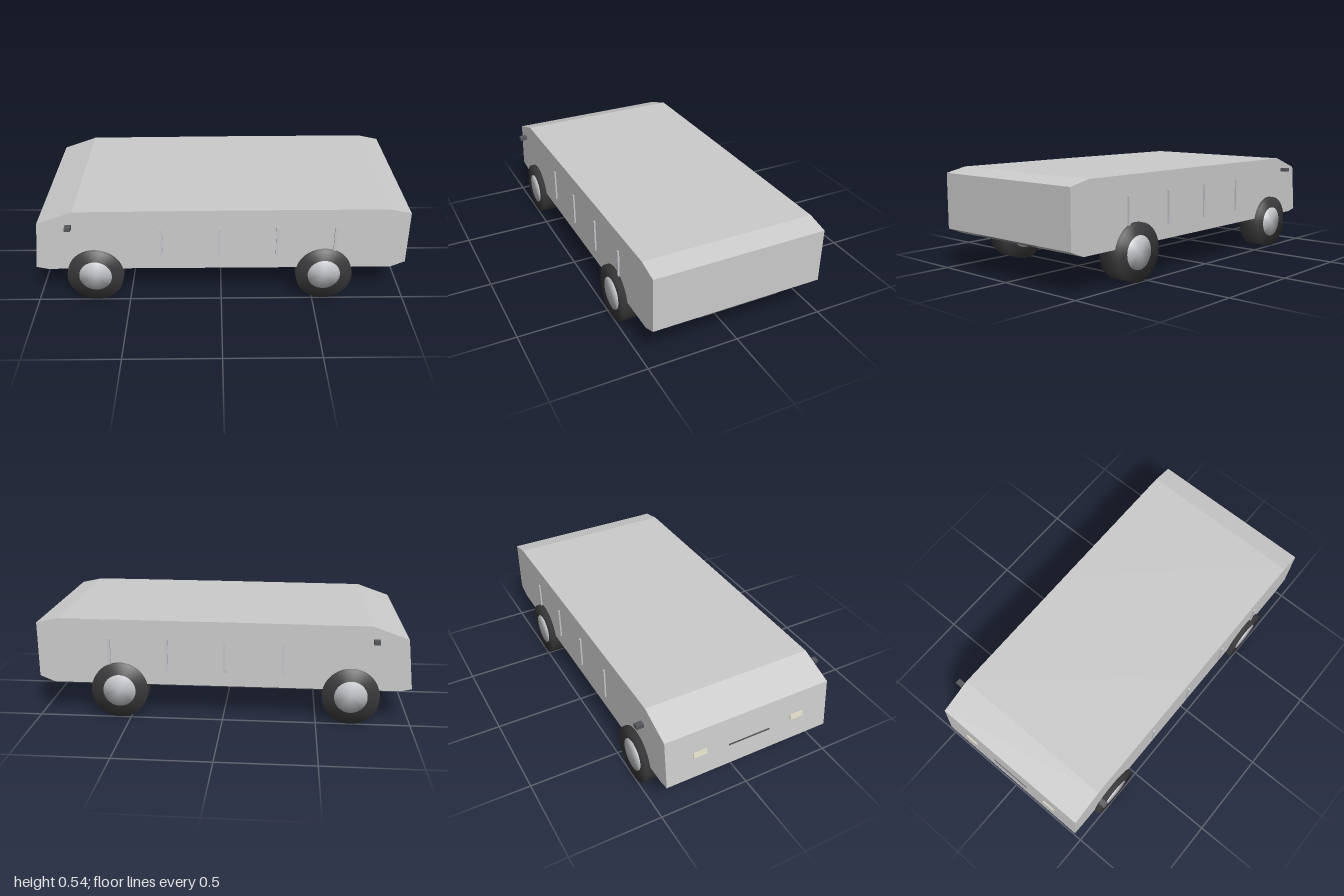
import * as THREE from 'three';

const mat = (color) => new THREE.MeshStandardMaterial({ color });

export function createModel() {
  const model = new THREE.Group();
  const grey = mat(0xcccccc);
  const rubber = mat(0x3a3a3c);
  const metal = mat(0xc4c6ca);
  const trim = mat(0x55585c);
  const lamp = mat(0xe6e2cc);

  const add = (name, geometry, material, x = 0, y = 0, z = 0) => {
    const mesh = new THREE.Mesh(geometry, material);
    mesh.name = name;
    mesh.position.set(x, y, z);
    model.add(mesh);
    return mesh;
  };

  // Body: side outline extruded across the full width
  const outline = [
    [-0.94, 0.187], [0.92, 0.187], [0.998, 0.22], [0.998, 0.52], [0.88, 0.546],
    [0.06, 0.544], [-0.78, 0.539], [-0.97, 0.472], [-1, 0.2],
  ].map(([x, y]) => new THREE.Vector2(x, y));
  const halfWidth = 0.474;
  const body = new THREE.ExtrudeGeometry(new THREE.Shape(outline), {
    depth: halfWidth * 2, bevelEnabled: false,
  });
  add('body', body, grey, 0, 0, -halfWidth);

  // Wheels: a smooth-shaded tyre with a slightly proud hub through its centre
  const lathe = (profile) => new THREE.LatheGeometry(
    profile.map(([r, h]) => new THREE.Vector2(r, h)), 40).rotateX(Math.PI / 2);
  const tyre = lathe([[0.001, -0.064], [0.152, -0.064], [0.152, 0.064], [0.001, 0.064]]);
  const hub = lathe([[0, -0.067], [0.088, -0.067], [0.088, 0.067], [0, 0.067]]);

  for (const side of [1, -1]) {
    for (const x of [-0.682, 0.558]) {
      add('tyre', tyre, rubber, x, 0.154, side * 0.434);
      add('hub', hub, metal, x, 0.154, side * 0.434);
    }

    // Upright door handles
    for (let i = 0; i < 4; i++) {
      add('doorHandle', new THREE.BoxGeometry(0.014, 0.18, 0.016), metal,
        -0.32 + i * 0.31, 0.352, side * 0.475);
    }

    // Side mirror, standing clear of the body
    add('mirror', new THREE.BoxGeometry(0.032, 0.02, 0.04), trim, -0.8, 0.468, side * 0.518);

    // Headlight on the sloping nose
    const light = add('headlight', new THREE.BoxGeometry(0.012, 0.03, 0.076), lamp,
      -0.985, 0.335, side * 0.285);
    light.rotation.z = -0.11;
  }

  // Thin grille slot on the nose and a bumper strip under the tail
  const grille = add('grille', new THREE.BoxGeometry(0.006, 0.008, 0.24), trim, -0.987, 0.315, 0);
  grille.rotation.z = -0.11;
  add('bumperStrip', new THREE.BoxGeometry(0.014, 0.008, 0.445), trim, 0.985, 0.214, 0);

  return model;
}
